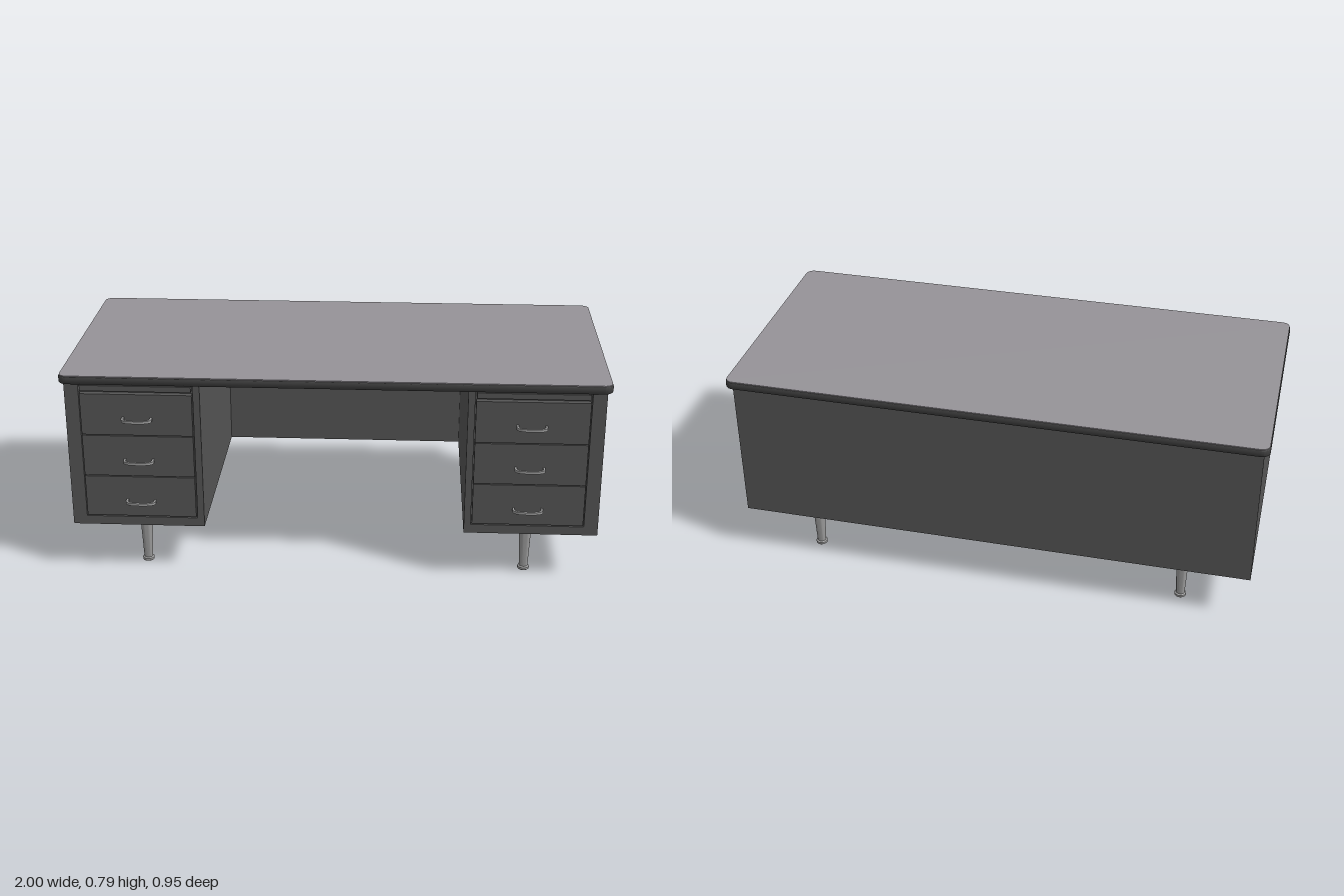
import * as THREE from 'three';
import { toCreasedNormals } from 'three/addons/utils/BufferGeometryUtils.js';

const mat = (name, color) => Object.assign(new THREE.MeshStandardMaterial({ color }), { name });

export function createModel() {
  const desk = new THREE.Group();
  desk.name = 'desk';
  const body = mat('charcoal paint', 0x545454);
  const edge = mat('dark edge trim', 0x3e3e3e);
  const laminate = mat('grey laminate', 0x969398);
  const metal = mat('brushed metal', 0x999999);

  const add = (parent, name, geo, material, x = 0, y = 0, z = 0) => {
    const m = new THREE.Mesh(geo, material);
    m.name = name;
    m.position.set(x, y, z);
    parent.add(m);
    return m;
  };
  // Box given by its limits on each axis
  const box = (parent, name, material, x0, x1, y0, y1, z0, z1) =>
    add(parent, name, new THREE.BoxGeometry(x1 - x0, y1 - y0, z1 - z0), material,
      (x0 + x1) / 2, (y0 + y1) / 2, (z0 + z1) / 2);

  const roundedRect = (w, d, r) => {
    const s = new THREE.Shape(), a = w / 2, b = d / 2;
    s.absarc(a - r, b - r, r, 0, Math.PI / 2);
    s.absarc(-a + r, b - r, r, Math.PI / 2, Math.PI);
    s.absarc(-a + r, -b + r, r, Math.PI, Math.PI * 1.5);
    s.absarc(a - r, -b + r, r, Math.PI * 1.5, Math.PI * 2);
    s.closePath();
    return s;
  };

  // Desktop: rounded edge band with a laminate sheet on top
  const bevel = 0.008, zTop = -0.0165;
  const slab = new THREE.ExtrudeGeometry(roundedRect(2 - 2 * bevel, 0.917 - 2 * bevel, 0.024), {
    depth: 0.031 - 2 * bevel, bevelEnabled: true, bevelThickness: bevel, bevelSize: bevel,
    bevelSegments: 4, curveSegments: 8,
  }).rotateX(-Math.PI / 2);
  add(desk, 'desktopEdge', toCreasedNormals(slab, 0.6), edge, 0, 0.754 + bevel, zTop);
  const sheet = new THREE.ExtrudeGeometry(roundedRect(1.994, 0.911, 0.03), {
    depth: 0.004, bevelEnabled: false, curveSegments: 8,
  }).rotateX(-Math.PI / 2);
  add(desk, 'desktopSurface', sheet, laminate, 0, 0.783, zTop);

  // Full-width modesty panel at the back
  box(desk, 'backPanel', body, -0.98, 0.98, 0.188, 0.756, -0.44, -0.42);

  // Face frame of a pedestal, with an opening for the drawers
  const frameShape = new THREE.Shape([[0.485, 0.188], [0.98, 0.188], [0.98, 0.756], [0.485, 0.756]]
    .map(p => new THREE.Vector2(...p)));
  frameShape.holes.push(new THREE.Path([[0.51, 0.222], [0.51, 0.752], [0.928, 0.752], [0.928, 0.222]]
    .map(p => new THREE.Vector2(...p))));
  const frameGeo = new THREE.ExtrudeGeometry(frameShape, { depth: 0.018, bevelEnabled: false });

  // Bow-shaped drawer pull
  const pull = new THREE.Shape();
  pull.moveTo(-0.056, 0);
  pull.lineTo(-0.056, 0.018);
  pull.bezierCurveTo(-0.054, 0.036, -0.035, 0.041, 0, 0.041);
  pull.bezierCurveTo(0.035, 0.041, 0.054, 0.036, 0.056, 0.018);
  pull.lineTo(0.056, 0);
  pull.lineTo(0.048, 0);
  pull.lineTo(0.048, 0.017);
  pull.bezierCurveTo(0.046, 0.028, 0.03, 0.032, 0, 0.032);
  pull.bezierCurveTo(-0.03, 0.032, -0.046, 0.028, -0.048, 0.017);
  pull.lineTo(-0.048, 0);
  const pullGeo = toCreasedNormals(new THREE.ExtrudeGeometry(pull, {
    depth: 0.01, bevelEnabled: false, curveSegments: 8,
  }).rotateX(Math.PI / 2), 0.6);

  // Tapered leg with a collared foot
  const legGeo = toCreasedNormals(new THREE.LatheGeometry([
    [0, 0], [0.019, 0], [0.022, 0.003], [0.022, 0.011], [0.019, 0.014], [0.0165, 0.015], [0.024, 0.184],
  ].map(p => new THREE.Vector2(...p)), 24), 0.6);

  for (const side of [-1, 1]) {
    const pedestal = new THREE.Group();
    pedestal.name = side > 0 ? 'leftPedestal' : 'rightPedestal';
    desk.add(pedestal);
    // Order the x limits for a mirrored box
    const sideBox = (name, material, a, b, ...rest) =>
      box(pedestal, name, material, Math.min(side * a, side * b), Math.max(side * a, side * b), ...rest);

    sideBox('pedestalCase', body, 0.485, 0.98, 0.188, 0.756, -0.42, 0.41);
    const frame = add(pedestal, 'faceFrame', frameGeo, body, side > 0 ? 0 : -1.465, 0, 0.41);
    if (side < 0) {
      // Half turn keeps the winding while swapping wide and narrow stiles
      const flipped = frameGeo.clone().rotateY(Math.PI).translate(0, 0, 0.018);
      frame.geometry = flipped;
      frame.position.x = 0;
    }
    sideBox('writingBoard', body, 0.516, 0.922, 0.729, 0.75, 0.38, 0.435);

    // Three drawers with pulls
    for (let i = 0; i < 3; i++) {
      const top = 0.717 - i * 0.164;
      sideBox('drawerFront', body, 0.514, 0.924, top - 0.16, top, 0.405, 0.433);
      add(pedestal, 'drawerPull', pullGeo, metal, side * 0.717, 0.628 - i * 0.165, 0.433);
    }

    // Legs with mounting plates
    for (const z of [0.344, -0.35]) {
      sideBox('legPlate', metal, 0.672, 0.768, 0.183, 0.189, z - 0.047, z + 0.047);
      add(pedestal, 'leg', legGeo, metal, side * 0.72, 0, z);
    }
  }
  return desk;
}
